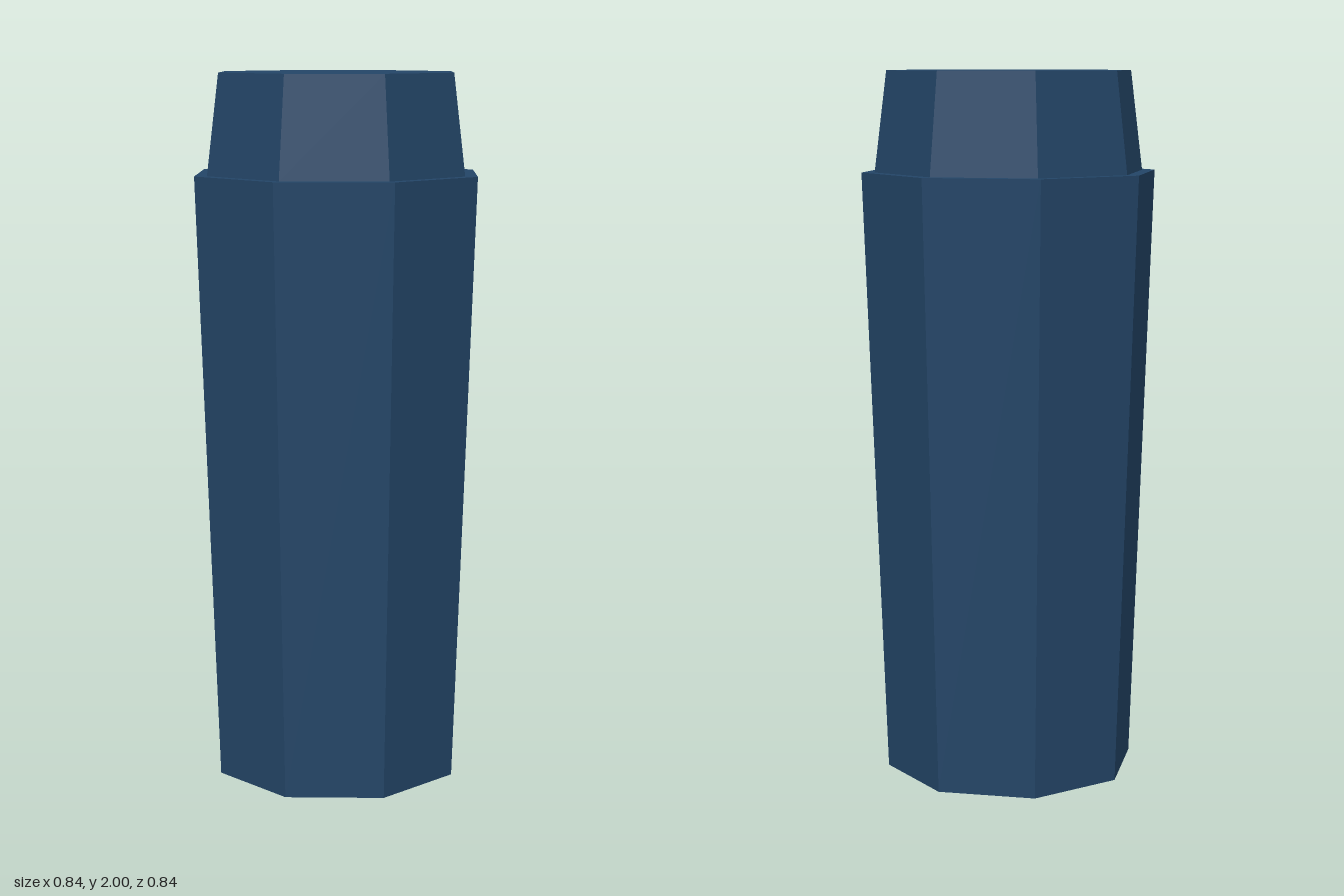
import * as THREE from 'three';

export function createModel() {
  const group = new THREE.Group();
  const navy = new THREE.MeshStandardMaterial({ color: 0x234567 });
  navy.name = 'navy';
  navy.flatShading = true;

  // Closed, tapered octagonal section standing on y0
  const section = (name, rTop, rBottom, y0, y1) => {
    const geometry = new THREE.CylinderGeometry(rTop, rBottom, y1 - y0, 8, 1, false, -0.043);
    const mesh = new THREE.Mesh(geometry, navy);
    mesh.name = name;
    mesh.position.y = (y0 + y1) / 2;
    group.add(mesh);
  };

  // Long body, widening towards its shoulder
  section('body', 0.42, 0.36, 0, 1.72);
  // Narrower cap, tapering upwards
  section('cap', 0.348, 0.383, 1.72, 2);

  return group;
}
